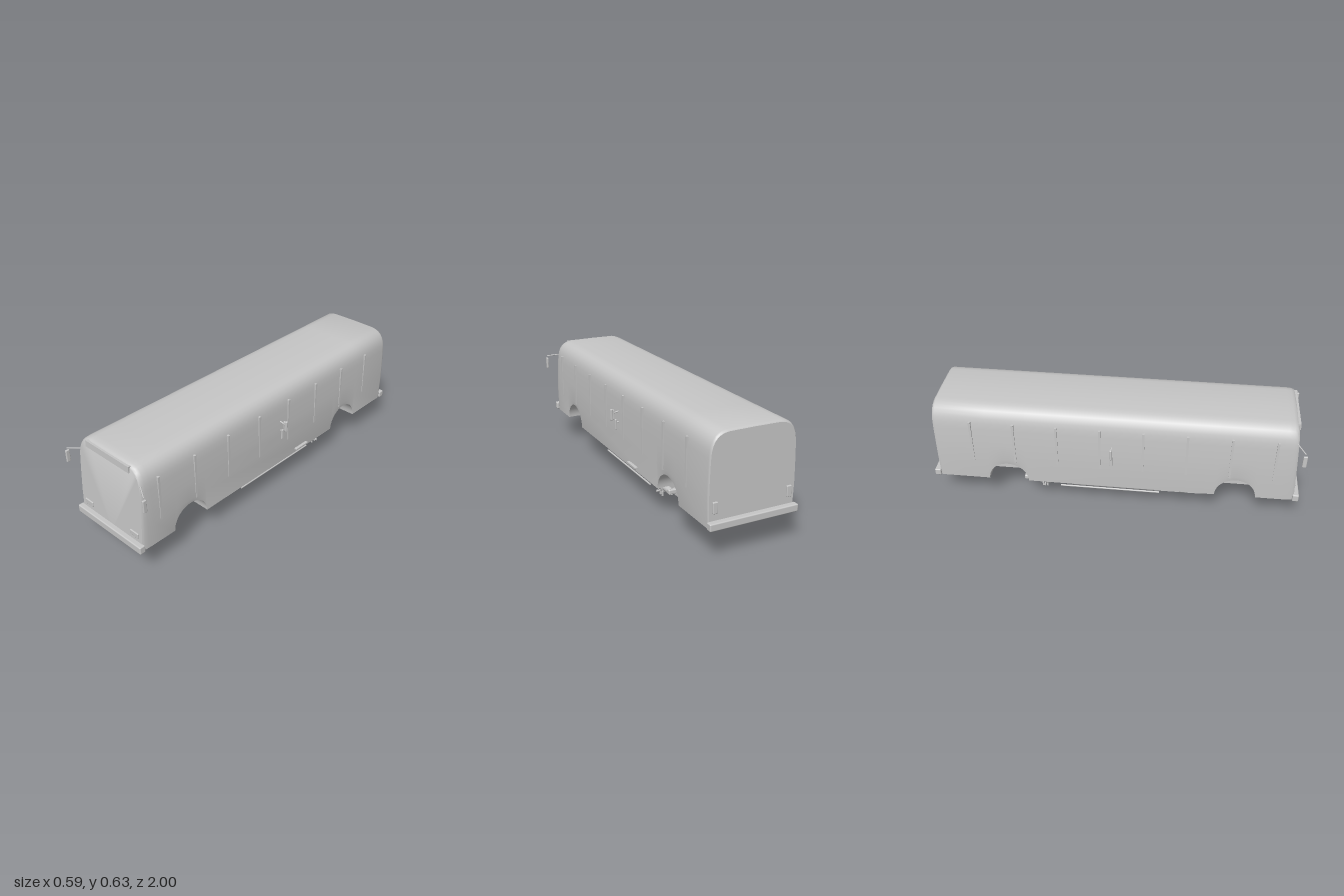
import * as THREE from 'three';
import { toCreasedNormals } from 'three/addons/utils/BufferGeometryUtils.js';
import { RoundedBoxGeometry } from 'three/addons/geometries/RoundedBoxGeometry.js';

const FLOOR = 0.165, ARCH_R = 0.11, WELL_X = 0.13;
const ARCHES = [-0.58, 0.66];

export function createModel() {
  const model = new THREE.Group();
  const grey = new THREE.MeshStandardMaterial({ color: 0xc6c6c6 });
  grey.name = 'plain grey';

  const add = (name, geometry, x = 0, y = 0, z = 0) => {
    const mesh = new THREE.Mesh(geometry, grey);
    mesh.name = name;
    mesh.position.set(x, y, z);
    model.add(mesh);
    return mesh;
  };
  const box = (name, w, h, d, x, y, z, r = 0) =>
    add(name, r ? new RoundedBoxGeometry(w, h, d, 3, r) : new THREE.BoxGeometry(w, h, d), x, y, z);
  // Round bar between two points
  const rod = (name, a, b, r) => {
    const from = new THREE.Vector3(...a), to = new THREE.Vector3(...b);
    const dir = to.clone().sub(from);
    const mesh = add(name, new THREE.CylinderGeometry(r, r, dir.length(), 16));
    mesh.position.copy(from).lerp(to, 0.5);
    mesh.quaternion.setFromUnitVectors(new THREE.Vector3(0, 1, 0), dir.normalize());
    return mesh;
  };

  add('body', bodyGeometry());

  // Bumpers
  box('frontBumper', 0.48, 0.042, 0.034, 0, 0.184, 0.983, 0.006);
  box('rearBumper', 0.48, 0.038, 0.034, 0, 0.184, -0.983, 0.006);

  // Destination panel above the windscreen
  const sign = box('signPanel', 0.316, 0.034, 0.016, 0, 0.599, 0.951);
  sign.rotation.x = -0.05;

  for (const s of [1, -1]) {
    box('headlight', 0.06, 0.029, 0.014, s * 0.173, 0.241, 0.97, 0.004);
    box('rearLamp', 0.026, 0.058, 0.014, s * 0.2, 0.266, -0.97, 0.004);

    // Window pillars
    for (let i = 0; i < 8; i++)
      box('windowPillar', 0.012, 0.25, 0.012, s * 0.2325, 0.418, 0.852 - i * 0.231);

    // Front mirrors
    rod('frontMirrorArm', [s * 0.215, 0.537, 0.945], [s * 0.286, 0.525, 0.985], 0.003);
    box('frontMirror', 0.012, 0.068, 0.022, s * 0.287, 0.479, 0.985, 0.004);

    // Middle mirrors
    rod('upperMirrorArm', [s * 0.225, 0.438, -0.008], [s * 0.262, 0.43, -0.008], 0.004);
    box('upperMirror', 0.014, 0.062, 0.014, s * 0.274, 0.422, -0.008, 0.004);
    box('upperMirrorBack', 0.013, 0.055, 0.012, s * 0.263, 0.422, -0.008, 0.004);
    rod('lowerMirrorArm', [s * 0.225, 0.38, -0.012], [s * 0.25, 0.376, -0.012], 0.004);
    box('lowerMirror', 0.01, 0.06, 0.018, s * 0.25, 0.363, -0.008, 0.004);

    // Sills, pods and running boards beneath the floor
    rod('sillTube', [s * 0.182, 0.146, 0.225], [s * 0.182, 0.146, -0.235], 0.022);
    rod('runningBoard', [s * 0.187, 0.111, 0.25], [s * 0.187, 0.111, -0.3], 0.005);
    box('sillKnob', 0.022, 0.05, 0.034, s * 0.2, 0.178, 0.018, 0.008);
    for (const e of [1, -1]) {
      rod('axlePod', [s * 0.165, 0.142, e * 0.29], [s * 0.165, 0.142, e * 0.43], 0.025);
      rod('axlePodCollar', [s * 0.165, 0.142, e * 0.36], [s * 0.165, 0.142, e * 0.39], 0.03);
      rod('axlePodTip', [s * 0.165, 0.142, e * 0.43], [s * 0.165, 0.142, e * 0.495], 0.018);
    }
    for (const z of [-0.38, -0.405])
      box('stub', 0.008, 0.026, 0.007, s * 0.168, 0.097, z);
    box('towBlock', 0.042, 0.01, 0.02, s * 0.118, 0.15, 0.49, 0.003);
    rod('crossBarEnd', [s * 0.185, 0.111, -0.39], [s * 0.195, 0.111, -0.39], 0.006);
  }
  box('sideStep', 0.022, 0.012, 0.1, 0.236, 0.189, -0.19, 0.003);

  // Lower chassis
  box('chassisPlate', 0.36, 0.03, 0.72, 0, 0.131, 0.12);
  box('chassisCore', 0.28, 0.05, 0.3, 0, 0.143, -0.36);
  box('chassisFrontBar', 0.368, 0.025, 0.025, 0, 0.132, 0.488, 0.006);
  box('chassisRearBar', 0.368, 0.025, 0.025, 0, 0.145, -0.493, 0.006);
  rod('crossBar', [-0.19, 0.111, -0.39], [0.19, 0.111, -0.39], 0.004);
  rod('lever', [-0.037, 0.081, 0], [-0.022, 0.115, 0], 0.002);

  // Single wheel under the middle
  const wheel = new THREE.Group();
  wheel.name = 'wheel';
  const part = (name, geometry) => {
    const mesh = new THREE.Mesh(geometry, grey);
    mesh.name = name;
    wheel.add(mesh);
    return mesh;
  };
  const profile = [[0.04, -0.02], [0.045, -0.025], [0.056, -0.025], [0.063, -0.019], [0.066, -0.008],
    [0.066, 0.008], [0.063, 0.019], [0.056, 0.025], [0.045, 0.025], [0.04, 0.02], [0.04, -0.02]]
    .map(([r, y]) => new THREE.Vector2(r, y));
  part('tyre', toCreasedNormals(new THREE.LatheGeometry(profile, 40), 0.7));
  part('hub', new THREE.CylinderGeometry(0.012, 0.012, 0.034, 20));
  for (let i = 0; i < 6; i++) {
    const a = i * Math.PI / 3;
    const spoke = part('spoke', new THREE.BoxGeometry(0.034, 0.024, 0.009));
    spoke.position.set(Math.cos(a) * 0.025, 0, Math.sin(a) * 0.025);
    spoke.rotation.y = -a;
  }
  wheel.rotation.z = Math.PI / 2;
  wheel.position.set(0, 0.066, 0);
  model.add(wheel);

  return model;
}

// Height of the side panel's lower edge, raised over the wheel arches
function lowerEdge(z) {
  for (const c of ARCHES) {
    const d = Math.abs(z - c);
    if (d < ARCH_R) return FLOOR + Math.sqrt(ARCH_R * ARCH_R - d * d);
  }
  return FLOOR;
}

// Lofted coach body with wheel wells, rounded ends and a leaning front
function bodyGeometry() {
  const stations = [[-0.968, 0.02], [-0.964, 0.008], [-0.955, 0]];
  for (const c of ARCHES)
    for (let i = 0; i <= 24; i++) stations.push([c - ARCH_R * Math.cos(i * Math.PI / 24), 0]);
  stations.push([0.9, 0], [0.94, 0.004], [0.96, 0.012], [0.971, 0.024], [0.976, 0.035]);

  const positions = [], index = [];
  let n = 0;
  stations.forEach(([z, inset]) => {
    const yb = lowerEdge(z);
    const half = [[WELL_X, FLOOR], [WELL_X, yb], [0.231, yb], [0.2355, 0.3], [0.234, 0.4], [0.2305, 0.5],
      [0.2275, 0.535], [0.222, 0.562], [0.213, 0.583], [0.2, 0.601], [0.184, 0.613],
      [0.165, 0.621], [0.14, 0.6255]];
    const ring = [[0, FLOOR], ...half, [0, 0.627], ...half.map(([x, y]) => [-x, y]).reverse()];
    n = ring.length;
    for (const [x, y] of ring) {
      const lean = 0.055 * (y - FLOOR) * Math.max(0, (z - 0.9) / 0.076);
      positions.push(x * (1 - inset), FLOOR + (y - FLOOR) * (1 - inset), z - lean);
    }
  });
  const last = (stations.length - 1) * n;
  for (let i = 0; i < stations.length - 1; i++)
    for (let j = 0; j < n; j++) {
      const a = i * n + j, b = i * n + (j + 1) % n;
      index.push(a, b, b + n, a, b + n, a + n);
    }
  for (let j = 1; j < n - 1; j++)
    index.push(0, j + 1, j, last, last + j, last + j + 1);

  const geometry = new THREE.BufferGeometry();
  geometry.setAttribute('position', new THREE.Float32BufferAttribute(positions, 3));
  geometry.setIndex(index);
  return toCreasedNormals(geometry, 0.6);
}
